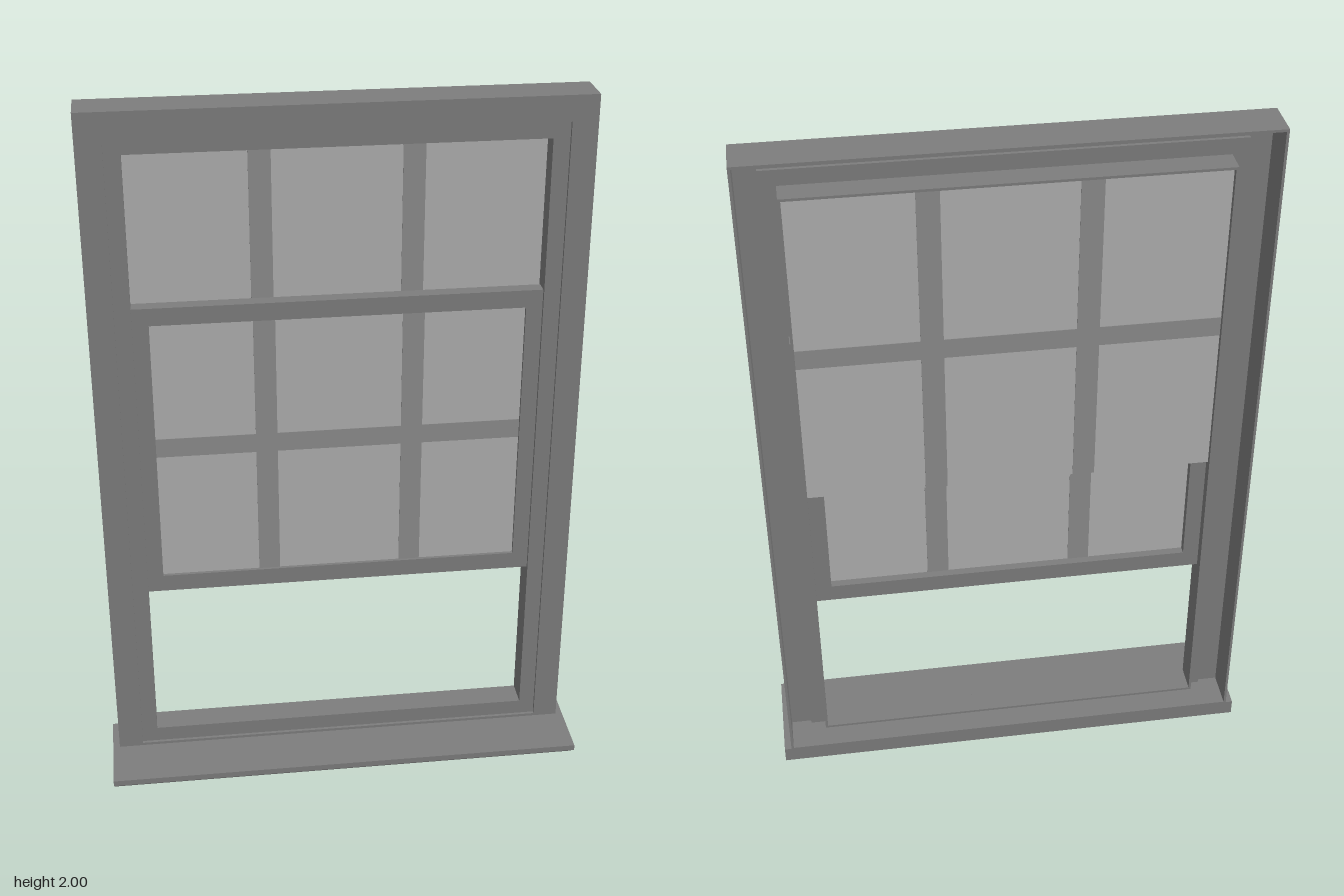
import * as THREE from 'three';

const material = (color) => new THREE.MeshStandardMaterial({ color, flatShading: true, side: THREE.DoubleSide });
const paint = material(0x7d7d7d);
const pane = material(0xafafaf);
const barPaint = material(0x8c8c8c);

// Rectangle path with half width w, from y0 to y1
function rect(Type, w, y0, y1) {
  const p = new Type();
  p.moveTo(-w, y0);
  p.lineTo(w, y0);
  p.lineTo(w, y1);
  p.lineTo(-w, y1);
  p.closePath();
  return p;
}

// Rectangular ring: outer and inner are [halfWidth, y0, y1]; spans z0 to z1
function ring(name, outer, inner, z0, z1) {
  const shape = rect(THREE.Shape, ...outer);
  shape.holes.push(rect(THREE.Path, ...inner));
  const geo = new THREE.ExtrudeGeometry(shape, { depth: z1 - z0, bevelEnabled: false });
  geo.translate(0, 0, z0);
  const mesh = new THREE.Mesh(geo, paint);
  mesh.name = name;
  return mesh;
}

// Box given by its limits
function box(name, x0, x1, y0, y1, z0, z1, mat) {
  const mesh = new THREE.Mesh(new THREE.BoxGeometry(x1 - x0, y1 - y0, z1 - z0), mat);
  mesh.position.set((x0 + x1) / 2, (y0 + y1) / 2, (z0 + z1) / 2);
  mesh.name = name;
  return mesh;
}

// Glass pane with two upright bars and one crossbar
function glazing(w, y0, y1, z, barY) {
  const group = new THREE.Group();
  group.name = 'glazing';
  group.add(box('glass', -w, w, y0, y1, z - 0.003, z + 0.003, pane));
  for (const x of [-0.203, 0.203]) {
    group.add(box('uprightBar', x - 0.03, x + 0.03, y0, y1, z - 0.0045, z + 0.0045, barPaint));
  }
  group.add(box('crossBar', -w, w, barY - 0.028, barY + 0.028, z - 0.0045, z + 0.0045, barPaint));
  return group;
}

// Sill with a moulded nose, extruded along x
function createSill() {
  const s = new THREE.Shape();
  s.moveTo(-0.138, 0);
  s.lineTo(0.105, 0);
  s.lineTo(0.112, 0.014);
  s.quadraticCurveTo(0.118, 0.026, 0.14, 0.03);
  s.lineTo(0.14, 0.047);
  s.lineTo(-0.138, 0.047);
  s.closePath();
  const geo = new THREE.ExtrudeGeometry(s, { depth: 1.38, bevelEnabled: false, curveSegments: 4 });
  geo.rotateY(-Math.PI / 2);
  geo.translate(0.69, 0, 0);
  const mesh = new THREE.Mesh(geo, paint);
  mesh.name = 'sill';
  return mesh;
}

export function createModel() {
  const model = new THREE.Group();
  model.name = 'sashWindow';

  // Outer casing: thin deep shell and a flat front face
  model.add(ring('casingShell', [0.67, 0.045, 2], [0.663, 0.05, 1.993], -0.138, -0.022));
  model.add(ring('casingFace', [0.67, 0.045, 2], [0.6, 0.055, 1.93], -0.032, -0.022));

  // Inner frame: front flange and the lining around the opening
  model.add(ring('frameFlange', [0.605, 0.045, 1.935], [0.555, 0.1, 1.885], -0.042, -0.031));
  model.add(ring('frameLining', [0.562, 0.093, 1.892], [0.555, 0.1, 1.885], -0.11, -0.032));

  // Upper sash, set back
  const upper = new THREE.Group();
  upper.name = 'upperSash';
  upper.add(glazing(0.555, 0.97, 1.885, -0.092, 1.42));
  model.add(upper);

  // Lower sash, raised, its ends running in the lining
  const lower = new THREE.Group();
  lower.name = 'lowerSash';
  lower.add(ring('sashFrame', [0.565, 0.58, 1.46], [0.51, 0.63, 1.41], -0.08, -0.041));
  lower.add(glazing(0.51, 0.63, 1.41, -0.054, 1.038));
  model.add(lower);

  model.add(createSill());
  return model;
}
